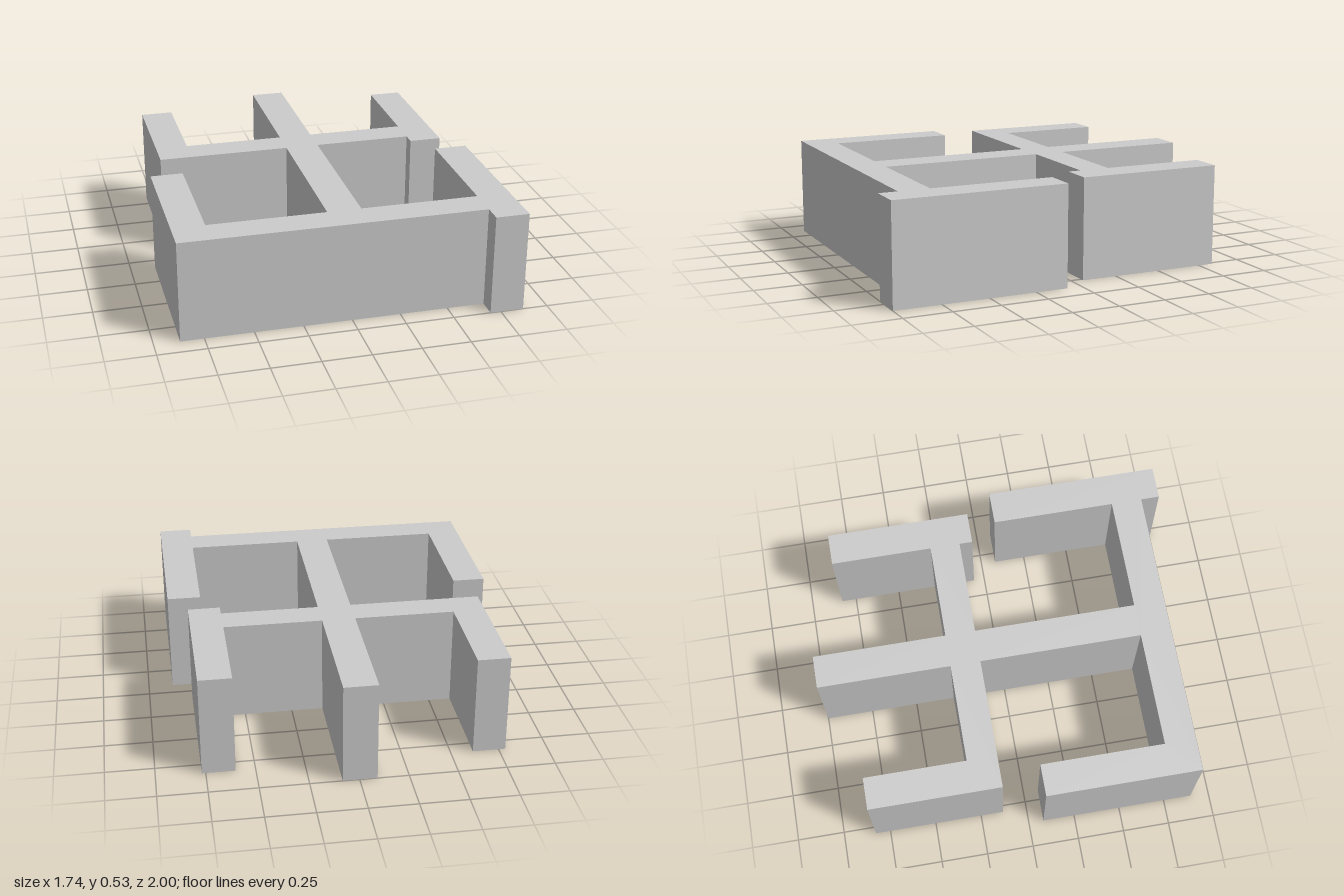
import * as THREE from 'three';

const HEIGHT = 0.53;

// Floor plan corners as [x, z], walked once around the joined walls
const PLAN = [
  // rear half, left side: spine end, cross wall, left arm
  [0.085, -1], [-0.09, -1], [-0.09, -0.29], [-0.615, -0.29],
  [-0.615, -0.83], [-0.785, -0.83], [-0.785, -0.13], [-0.09, -0.13],
  // front half: left arm, front wall, right arm with its overhang
  [-0.09, 0.735], [-0.7, 0.735], [-0.7, 0.08], [-0.87, 0.08],
  [-0.87, 0.9], [0.695, 0.9], [0.695, 1], [0.87, 1],
  [0.87, 0.08], [0.695, 0.08], [0.695, 0.735], [0.085, 0.735],
  // rear half, right side: cross wall, right arm with its overhang
  [0.085, -0.13], [0.6, -0.13], [0.6, -0.06], [0.77, -0.06],
  [0.77, -0.83], [0.6, -0.83], [0.6, -0.29], [0.085, -0.29],
];

export function createModel() {
  const group = new THREE.Group();
  group.name = 'branchingWalls';

  // One solid extrusion, turned so the plan lies on the ground
  const shape = new THREE.Shape(PLAN.map(([x, z]) => new THREE.Vector2(x, -z)));
  const geometry = new THREE.ExtrudeGeometry(shape, { depth: HEIGHT, bevelEnabled: false });
  geometry.rotateX(-Math.PI / 2);

  const material = new THREE.MeshStandardMaterial({ color: 0xcccccc, flatShading: true });
  const walls = new THREE.Mesh(geometry, material);
  walls.name = 'walls';
  group.add(walls);
  return group;
}
